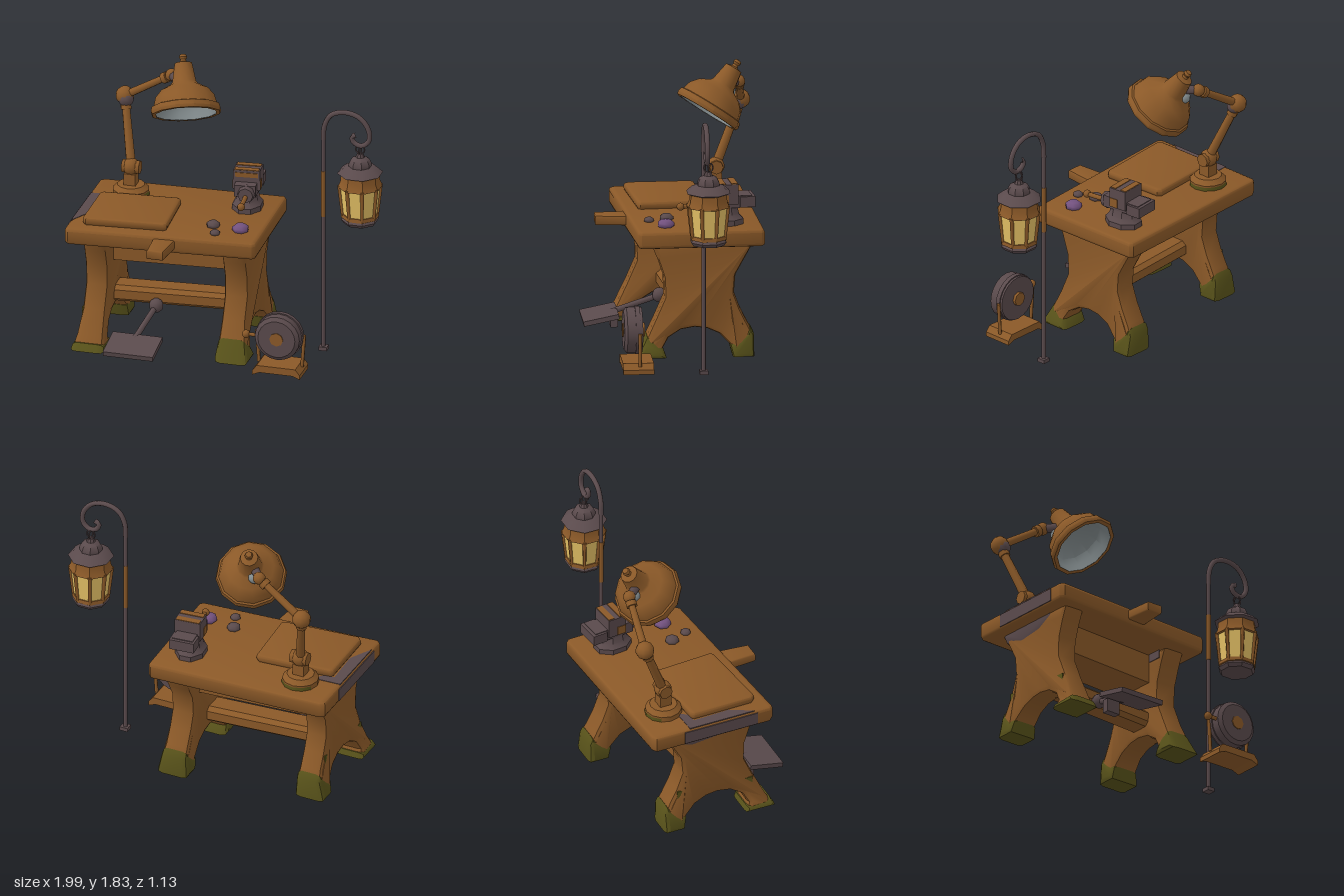
import * as THREE from 'three';
import { toCreasedNormals } from 'three/addons/utils/BufferGeometryUtils.js';

const mat = (name, color, extra = {}) => Object.assign(new THREE.MeshStandardMaterial({ color, ...extra }), { name });
const V = (x, y, z) => new THREE.Vector3(x, y, z);

export function createModel() {
  const wood = mat('wood', 0x8b5928);
  const metal = mat('darkMetal', 0x5a4a4c);
  const moss = mat('moss', 0x59531a);
  const glass = mat('amberGlass', 0xe6c266);
  const dish = mat('paleReflector', 0x848d8f, { side: THREE.DoubleSide });
  const gem = mat('purpleGem', 0x73527f);
  const root = new THREE.Group();
  root.name = 'workbench';

  const add = (name, geo, material, pos = [0, 0, 0], parent = root) => {
    const m = new THREE.Mesh(geo, material);
    m.name = name;
    m.position.set(...pos);
    parent.add(m);
    return m;
  };
  const group = (name, pos = [0, 0, 0], parent = root) => {
    const g = new THREE.Group();
    g.name = name;
    g.position.set(...pos);
    parent.add(g);
    return g;
  };
  const box = (name, w, h, d, material, pos, parent) => add(name, new THREE.BoxGeometry(w, h, d), material, pos, parent);
  const lathe = (name, pts, sides, material, pos, parent, phase = 0) => {
    const g = new THREE.LatheGeometry(pts.map(p => new THREE.Vector2(...p)), sides, phase);
    return add(name, toCreasedNormals(g, 0.65), material, pos, parent);
  };
  const ball = (name, r, material, pos, parent) => add(name, new THREE.SphereGeometry(r, 10, 7), material, pos, parent);
  // tapered rod between two points
  const rod = (name, a, b, r0, r1, material, parent = root, sides = 8) => {
    const d = b.clone().sub(a);
    const m = add(name, new THREE.CylinderGeometry(r1, r0, d.length(), sides), material, a.clone().add(b).multiplyScalar(0.5).toArray(), parent);
    m.quaternion.setFromUnitVectors(V(0, 1, 0), d.normalize());
    return m;
  };
  // extruded outline with rounded rims that stay inside the outline
  const extrude = (pts, depth, bevel, rim = bevel, grow = 0) => new THREE.ExtrudeGeometry(
    new THREE.Shape(pts.map(p => new THREE.Vector2(...p))),
    { depth: depth - 2 * bevel, bevelEnabled: bevel > 0, bevelThickness: bevel, bevelSize: rim, bevelOffset: grow - rim, bevelSegments: 2 });
  // horizontal slab with an outline given as x, z
  const slab = (name, pts, y0, y1, bevel, material) => {
    const g = extrude(pts.map(([x, z]) => [x, -z]), y1 - y0, bevel);
    g.rotateX(-Math.PI / 2);
    g.translate(0, y0 + bevel, 0);
    return add(name, toCreasedNormals(g, 0.8), material);
  };

  // table top, bench pin, work mat and worn patches
  slab('tableTop', [[-1, 0.32], [-0.975, 0.345], [0.24, 0.253], [0.26, 0.23], [0.24, -0.55], [0.22, -0.57], [-0.97, -0.513], [-1, -0.49]], 0.745, 0.86, 0.022, wood);
  slab('benchPin', [[-0.4, 0.49], [-0.29, 0.49], [-0.26, 0.2], [-0.42, 0.2]], 0.775, 0.84, 0.012, wood);
  slab('workMat', [[-0.88, 0.257], [-0.37, 0.21], [-0.35, 0.19], [-0.375, -0.22], [-0.4, -0.24], [-0.89, -0.2], [-0.91, -0.18], [-0.905, 0.23]],
    0.855, 0.91, 0.018, wood);
  slab('wornTopPatch', [[-0.99, 0.21], [-0.91, 0.06], [-0.92, -0.19], [-0.85, -0.2], [-0.8, -0.26], [-0.99, -0.25]], 0.856, 0.863, 0, metal);
  box('wornEdgePatch', 0.008, 0.085, 0.52, metal, [-0.999, 0.803, -0.03]);

  // slab legs with splayed feet; the foot flares near the floor
  const legOutline = [[-0.5, 0.75], [-0.44, 0.64], [-0.385, 0.54], [-0.375, 0.42], [-0.415, 0.31], [-0.465, 0.21], [-0.5, 0.14], [-0.5, 0],
    [-0.37, 0], [-0.35, 0.08], [-0.28, 0.15], [-0.2, 0.185], [-0.12, 0.195], [-0.03, 0.18], [0.05, 0.13], [0.09, 0.06], [0.07, 0],
    [0.26, 0], [0.21, 0.1], [0.14, 0.25], [0.075, 0.4], [0.08, 0.53], [0.12, 0.65], [0.16, 0.75]];
  const frontMoss = [[0.09, 0.06], [0.07, 0], [0.26, 0], [0.21, 0.1], [0.19, 0.14], [0.13, 0.11]];
  const frontMossLow = [[0.08, 0.035], [0.07, 0], [0.27, 0], [0.245, 0.045]];
  const backMoss = [[-0.48, 0.18], [-0.5, 0.14], [-0.5, 0], [-0.37, 0], [-0.35, 0.08], [-0.41, 0.12]];
  const ironCap = [[-0.5, 0.75], [-0.46, 0.67], [-0.3, 0.62], [-0.12, 0.64], [0, 0.7], [0.03, 0.75]];
  const legPart = (name, outline, { thick, lean }, grow, rim, material, parent) => {
    const g = extrude(outline, 1, 0.2, rim, grow);
    g.translate(0, 0, -0.3);
    const p = g.attributes.position;
    for (let i = 0; i < p.count; i++) {
      const y = Math.max(grow ? 0 : 0.006, p.getY(i));
      const flare = Math.pow(Math.max(0, 1 - y / 0.22), 1.5);
      p.setXYZ(i, lean * flare - p.getZ(i) * (thick + 2 * grow + 0.055 * flare), y, p.getX(i));
    }
    add(name, toCreasedNormals(g, 0.7), material, [0, 0, 0], parent);
  };
  const rightEnd = { thick: 0.165, lean: 0.015 }, leftEnd = { thick: 0.155, lean: -0.012 };
  const rightLeg = group('rightEndLeg', [0.083, 0, 0]), leftLeg = group('leftEndLeg', [-0.825, 0.02, 0.11]);
  [[rightLeg, rightEnd], [leftLeg, leftEnd]].forEach(([leg, end]) => {
    legPart('legSlab', legOutline, end, 0, 0.03, wood, leg);
    legPart('backFootMoss', backMoss, end, 0.005, 0.03, moss, leg);
  });
  legPart('frontFootMoss', frontMoss, rightEnd, 0.005, 0.03, moss, rightLeg);
  legPart('frontFootMoss', frontMossLow, leftEnd, 0.005, 0.015, moss, leftLeg);
  legPart('legIronCap', ironCap, leftEnd, 0.004, 0.03, metal, leftLeg);
  box('legIronPatch', 0.008, 0.055, 0.1, metal, [-0.001, 0.717, 0.06]);
  box('legMossPatch', 0.009, 0.07, 0.07, moss, [-0.903, 0.235, 0.2]);
  box('legMossPatch', 0.009, 0.12, 0.06, moss, [-0.903, 0.25, -0.27]);

  // apron and stretcher between the legs
  const turn = 0.08;
  box('apron', 0.86, 0.2, 0.3, wood, [-0.37, 0.65, -0.12]).rotation.y = turn;
  const stretcher = add('stretcher', extrude([[-0.09, -0.03], [-0.06, -0.055], [0.06, -0.055], [0.09, -0.03], [0.09, 0.03], [0.06, 0.055], [-0.06, 0.055], [-0.09, 0.03]], 0.84, 0), wood, [-0.79, 0.305, -0.03]);
  stretcher.rotation.y = Math.PI / 2 + turn;

  // foot pedal
  box('pedalPlate', 0.335, 0.032, 0.235, metal, [-0.505, 0.128, 0.445]).rotation.x = 0.2;
  box('pedalBlock', 0.1, 0.09, 0.05, metal, [-0.59, 0.075, 0.345]);
  rod('pedalArm', V(-0.52, 0.14, 0.37), V(-0.46, 0.26, 0.06), 0.02, 0.02, metal);
  ball('pedalJoint', 0.048, metal, [-0.46, 0.262, 0.06]);

  // jointed lamp
  const lamp = group('deskLamp');
  lathe('lampBase', [[0, 0.855], [0.12, 0.855], [0.12, 0.895], [0.09, 0.925], [0, 0.93]], 12, wood, [-0.743, 0, -0.326], lamp);
  add('lampBaseMoss', new THREE.CylinderGeometry(0.123, 0.123, 0.025, 6, 1, true, Math.PI / 3, Math.PI), moss, [-0.743, 0.873, -0.326], lamp);
  box('lampNeckBlock', 0.08, 0.09, 0.08, wood, [-0.743, 0.96, -0.326], lamp);
  const k0 = V(-0.743, 1.045, -0.33), k1 = V(-0.835, 1.465, -0.5), k2 = V(-0.51, 1.665, -0.46);
  ball('lowerKnuckle', 0.058, wood, k0.toArray(), lamp);
  rod('lowerKnucklePin', V(-0.8, 1.045, -0.33), V(-0.682, 1.045, -0.33), 0.045, 0.045, wood, lamp);
  rod('lowerArm', k0, k1, 0.032, 0.026, wood, lamp);
  rod('lowerArmCollar', k0.clone().lerp(k1, 0.8), k0.clone().lerp(k1, 0.87), 0.036, 0.036, wood, lamp);
  ball('elbow', 0.062, wood, k1.toArray(), lamp);
  ball('elbowCap', 0.052, metal, [-0.824, 1.448, -0.484], lamp);
  rod('upperArm', k1, k2, 0.027, 0.023, wood, lamp);
  rod('upperArmCollar', k1.clone().lerp(k2, 0.82), k1.clone().lerp(k2, 0.91), 0.038, 0.038, wood, lamp);
  ball('shadeKnuckle', 0.042, wood, k2.toArray(), lamp);
  rod('shadeStem', k2, V(-0.42, 1.67, -0.36), 0.03, 0.03, metal, lamp);
  ball('bulb', 0.042, dish, [-0.445, 1.615, -0.395], lamp);
  const shade = group('lampShade', [-0.346, 1.503, -0.238], lamp);
  shade.quaternion.setFromUnitVectors(V(0, 1, 0), V(-0.085, 0.32, -0.215).normalize());
  lathe('shadeShell', [[0.2, 0], [0.225, 0], [0.233, 0.02], [0.225, 0.05], [0.212, 0.055], [0.197, 0.11], [0.155, 0.16], [0.09, 0.195],
    [0.08, 0.21], [0.058, 0.335], [0.022, 0.345], [0.018, 0.36], [0.027, 0.375], [0.02, 0.392], [0, 0.397]], 12, wood, [0, 0, 0], shade);
  lathe('shadeReflector', [[0.202, 0.002], [0.195, 0.05], [0.18, 0.1], [0.13, 0.15], [0, 0.18]], 12, dish, [0, 0, 0], shade);

  // bench vise
  const vise = group('vise', [0.045, 0, -0.33]);
  vise.rotation.y = 0.1;
  lathe('viseBase', [[0, 0.855], [0.13, 0.855], [0.13, 0.895], [0.1, 0.925], [0.085, 0.99], [0, 0.99]], 8, metal, [0, 0, 0.01], vise, Math.PI / 8).scale.x = 0.78;
  box('viseBody', 0.14, 0.08, 0.28, metal, [0, 1.015, -0.02], vise);
  box('viseAnvil', 0.17, 0.07, 0.1, metal, [0, 1.015, -0.13], vise);
  box('viseHead', 0.175, 0.135, 0.125, metal, [0, 1.068, -0.005], vise);
  [-0.045, 0.035].forEach(z => box('jawBand', 0.16, 0.012, 0.042, wood, [0, 1.134, z], vise));
  box('jawFacePlate', 0.15, 0.03, 0.008, wood, [0, 1.105, 0.058], vise);
  [-1, 1].forEach(s => box('jawSidePlate', 0.008, 0.06, 0.06, wood, [s * 0.087, 1.035, 0.025], vise));
  add('viseNose', new THREE.CylinderGeometry(0.05, 0.06, 0.05, 8).rotateX(Math.PI / 2), metal, [0.01, 1, 0.13], vise);
  rod('viseScrew', V(0.01, 0.99, 0.12), V(0.01, 0.985, 0.3), 0.016, 0.016, wood, vise);
  ball('viseKnob', 0.026, wood, [0.01, 0.985, 0.3], vise);

  // loose stones
  [[-0.08, 0.045, 0.047, metal], [-0.035, 0.162, 0.035, metal], [0.11, 0.065, 0.058, gem]].forEach(([x, z, r, m], i) => {
    const stone = add('stone', new THREE.SphereGeometry(r, 7, 5), m, [x, 0.86 + r * 0.3, z]);
    stone.scale.y = 0.6;
    stone.rotation.y = i;
  });

  // lamp post with curled hook
  const post = group('lanternPost', [0, 0, -0.14]);
  box('postFoot', 0.055, 0.025, 0.055, metal, [0.61, 0.0125, 0], post);
  rod('postPole', V(0.608, 0, 0), V(0.608, 1.5, 0), 0.014, 0.014, metal, post);
  rod('postGrip', V(0.608, 0.94, 0), V(0.608, 1.26, 0), 0.016, 0.016, wood, post);
  const hook = [[0.608, 1.48], [0.615, 1.58], [0.66, 1.66], [0.75, 1.69], [0.85, 1.665], [0.91, 1.59], [0.915, 1.51], [0.87, 1.468], [0.815, 1.485], [0.8, 1.525], [0.83, 1.54]];
  add('hook', new THREE.TubeGeometry(new THREE.CatmullRomCurve3(hook.map(([x, y]) => V(x, y, 0))), 36, 0.017, 7), metal, [0, 0, 0], post);

  // eight-sided lantern
  const lantern = group('lantern', [0.853, 0, -0.15]);
  const eighth = Math.PI / 8;
  const tier = (name, pts, material) => lathe(name, pts, 8, material, [0, 0, 0], lantern, eighth);
  [0, Math.PI / 2].forEach(a => { add('hangRing', new THREE.TorusGeometry(0.03, 0.005, 5, 12), metal, [0, 1.437, 0], lantern).rotation.y = a; });
  tier('lanternRoof', [[0, 1.258], [0.11, 1.258], [0.15, 1.275], [0.11, 1.31], [0.075, 1.322], [0.075, 1.34], [0.06, 1.37], [0.03, 1.385], [0.02, 1.41], [0, 1.41]], metal);
  tier('upperFrame', [[0.122, 1.172], [0.147, 1.18], [0.13, 1.215], [0.125, 1.265]], wood);
  tier('panes', [[0.112, 0.98], [0.134, 1.185]], glass);
  tier('lowerFrame', [[0.1, 0.96], [0.124, 0.965], [0.12, 0.99], [0.1, 0.992]], wood);
  tier('lanternFloor', [[0, 0.925], [0.108, 0.925], [0.124, 0.948], [0.11, 0.968], [0, 0.968]], metal);
  for (let i = 0; i < 8; i++) {
    const a = eighth + i * Math.PI / 4, s = Math.sin(a), c = Math.cos(a);
    rod('paneBar', V(s * 0.112, 0.965, c * 0.112), V(s * 0.135, 1.19, c * 0.135), 0.011, 0.014, wood, lantern, 5);
  }

  // grinding wheel on its stand
  const grinder = group('grinder', [0.44, 0, 0.28]);
  add('grinderBase', extrude([[-0.16, 0], [-0.11, 0.02], [0.11, 0.02], [0.16, 0], [0.16, 0.03], [0.13, 0.068], [-0.13, 0.068], [-0.16, 0.03]], 0.2, 0), wood, [0, 0, -0.1], grinder);
  [-1, 1].forEach(s => rod('standPost', V(s * 0.145, 0.05, -0.01), V(s * 0.16, 0.27, -0.01), 0.012, 0.012, wood, grinder, 6));
  const disc = (name, r0, r1, z0, z1, m, sides = 20) => rod(name, V(0, 0.26, z0), V(0, 0.26, z1), r0, r1, m, grinder, sides);
  disc('wheel', 0.15, 0.15, -0.03, 0.07, metal);
  disc('wheelFace', 0.15, 0.125, 0.07, 0.088, metal);
  disc('wheelRim', 0.158, 0.158, -0.015, 0.015, metal);
  disc('wheelHub', 0.046, 0.046, -0.05, 0.094, wood, 8);
  rod('crank', V(-0.14, 0.26, 0.05), V(-0.2, 0.26, 0.05), 0.013, 0.013, wood, grinder);
  ball('crankKnob', 0.027, wood, [-0.215, 0.26, 0.05], grinder);

  return root;
}
